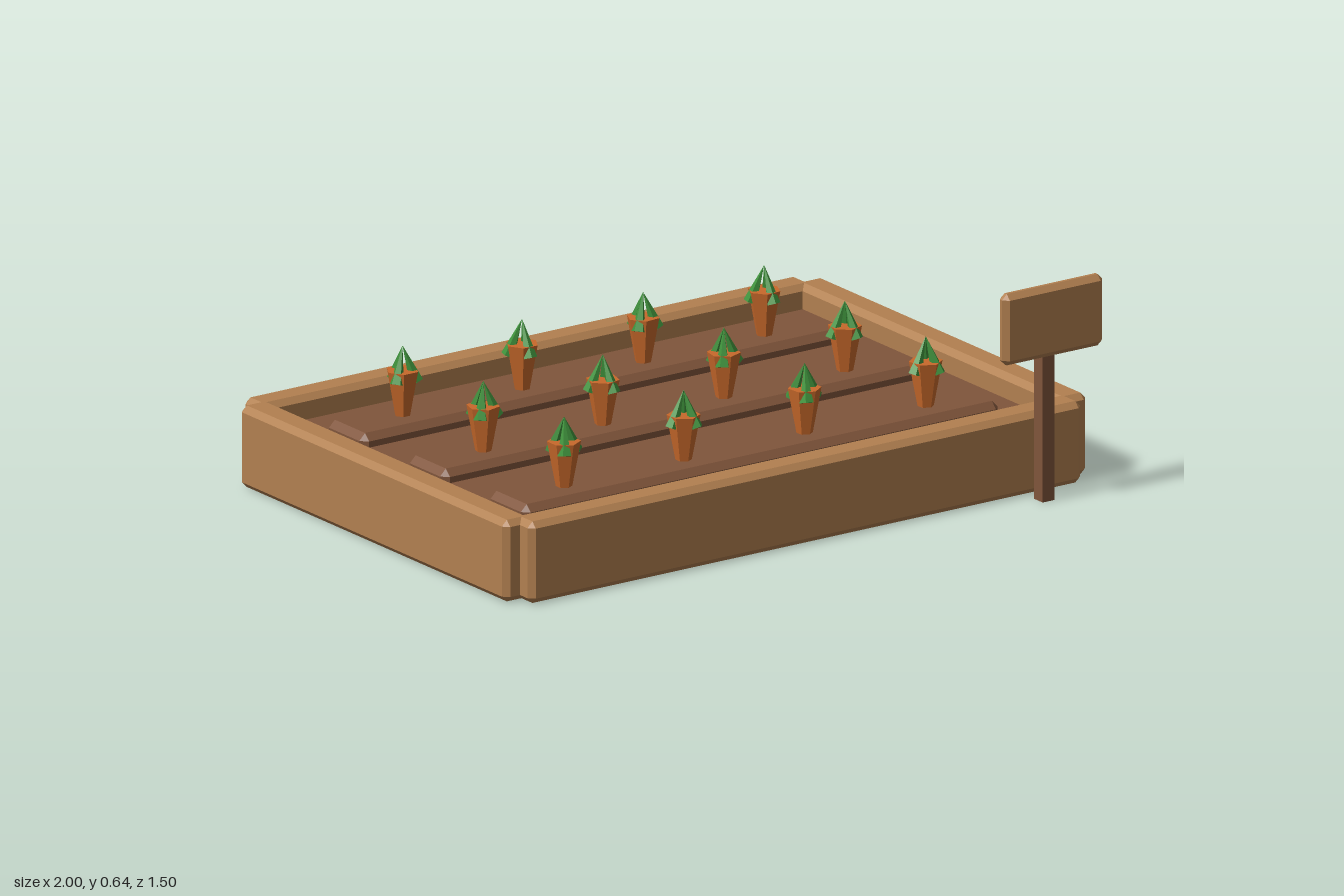
import * as THREE from 'three';
import { ConvexGeometry } from 'three/addons/geometries/ConvexGeometry.js';

const material = (name, color, flatShading = true) => {
  const m = new THREE.MeshStandardMaterial({ color, flatShading });
  m.name = name;
  return m;
};

// Box with flat chamfers on every edge, given by its min and max corners
function chamferBox(min, max, c) {
  const half = max.map((v, i) => (v - min[i]) / 2);
  const points = [];
  for (const sx of [-1, 1]) for (const sy of [-1, 1]) for (const sz of [-1, 1]) {
    const s = [sx, sy, sz];
    for (let axis = 0; axis < 3; axis++) {
      points.push(new THREE.Vector3(...half.map((h, i) => s[i] * (i === axis ? h : h - c))));
    }
  }
  const geo = new ConvexGeometry(points);
  return geo.translate(...max.map((v, i) => (v + min[i]) / 2));
}

export function createModel() {
  const wood = material('light wood', 0xb28050);
  const soil = material('brown soil and post', 0x80553b);
  const orange = material('carrot orange', 0xc8692b);
  const green = material('leaf green', 0x3f923c);

  const model = new THREE.Group();
  model.name = 'carrotBed';
  const add = (name, geo, mat, parent = model) => {
    const mesh = new THREE.Mesh(geo, mat);
    mesh.name = name;
    parent.add(mesh);
    return mesh;
  };

  // Frame boards, with the corners notched where they meet
  add('frontBoard', chamferBox([-0.95, 0, 0.55], [0.945, 0.24, 0.645], 0.017), wood);
  add('backBoard', chamferBox([-0.95, 0, -0.75], [0.945, 0.24, -0.655], 0.017), wood);
  add('rightBoard', chamferBox([-1, 0, -0.697], [-0.905, 0.24, 0.592], 0.017), wood);
  add('leftBoard', chamferBox([0.905, 0, -0.697], [1, 0.24, 0.592], 0.017), wood);

  // Soil bed
  const bed = new THREE.BoxGeometry(1.84, 0.15, 1.24).translate(0, 0.095, -0.052);
  add('soil', bed, soil);

  // Carrot: tapered root and three splayed leaves meeting at the tip
  const rootGeo = new THREE.CylinderGeometry(0.048, 0.018, 0.16, 6).translate(0, 0.26, 0);
  const leafGeo = new THREE.ConeGeometry(0.021, 0.112, 5)
    .translate(0, -0.056, 0).rotateZ(0.35).translate(0, 0.412, 0);

  const rowZ = [-0.44, -0.05, 0.34];
  const carrotX = [-0.62, -0.21, 0.205, 0.62];
  rowZ.forEach((z, r) => {
    add('plantingRidge', chamferBox([-0.82, 0.12, z - 0.093], [0.815, 0.208, z + 0.093], 0.02), soil);
    carrotX.forEach((x, i) => {
      const carrot = new THREE.Group();
      carrot.name = 'carrot';
      carrot.position.set(x, 0, z);
      carrot.rotation.y = Math.PI / 2 + i * Math.PI + r * 0.25 + (i > 1 ? 0.1 : 0);
      add('root', rootGeo, orange, carrot);
      for (let k = 0; k < 3; k++) {
        add('leaf', leafGeo, green, carrot).rotation.y = (k * Math.PI * 2) / 3;
      }
      model.add(carrot);
    });
  });

  // Blank sign on a post in front of the bed
  const sign = new THREE.Group();
  sign.name = 'sign';
  add('signPost', new THREE.BoxGeometry(0.04, 0.605, 0.042).translate(0.77, 0.3025, 0.701), soil, sign);
  add('signPanel', chamferBox([0.602, 0.432, 0.708], [0.945, 0.642, 0.75], 0.016), wood, sign);
  model.add(sign);

  return model;
}
